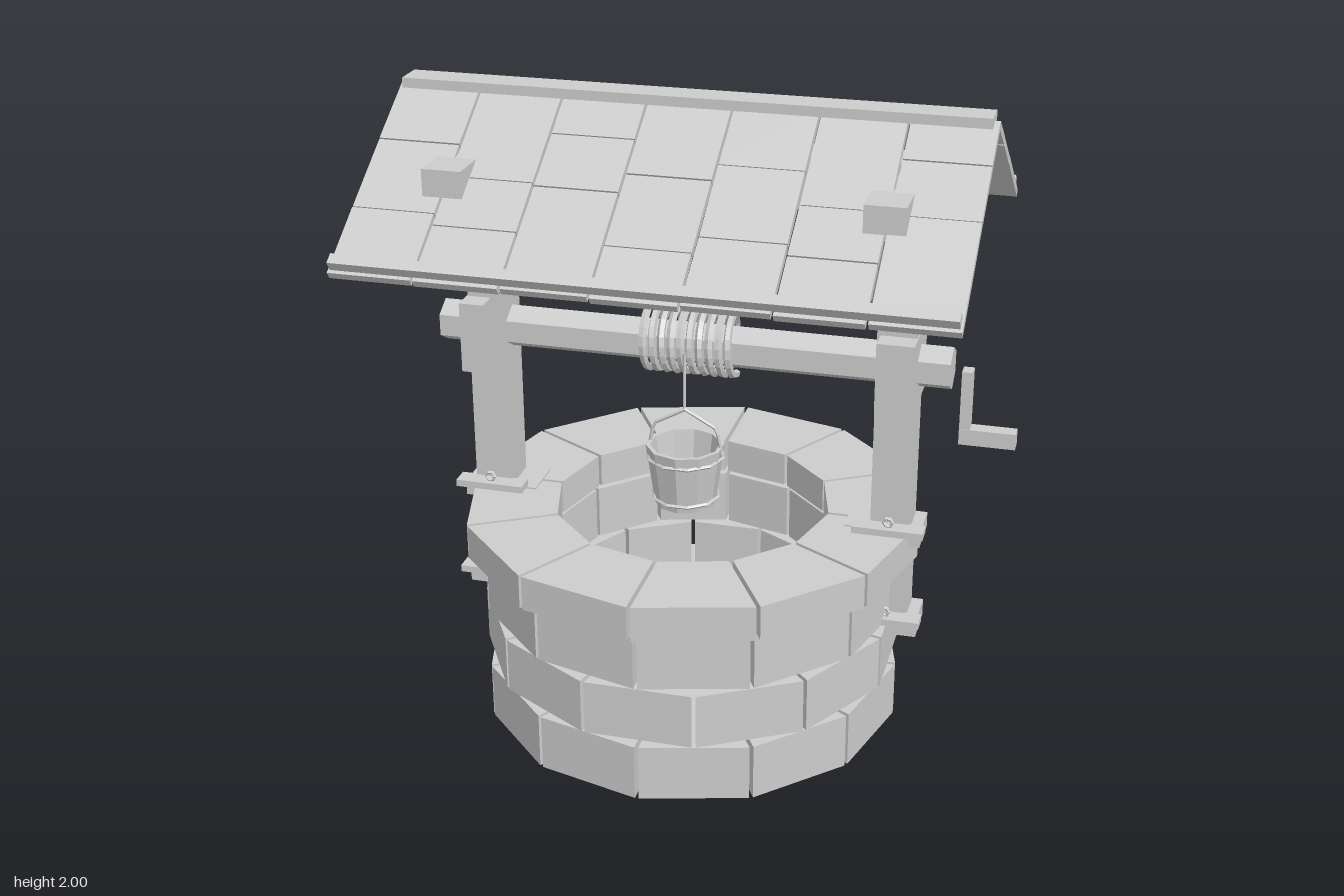
import * as THREE from 'three';

const grey = new THREE.MeshStandardMaterial({ color: 0xcccccc });
grey.name = 'plain grey';

// Mesh with faceted normals
function part(name, geometry, parent, x = 0, y = 0, z = 0) {
  const geo = geometry.index ? geometry.toNonIndexed() : geometry;
  geo.computeVertexNormals();
  const mesh = new THREE.Mesh(geo, grey);
  mesh.name = name;
  mesh.position.set(x, y, z);
  parent.add(mesh);
  return mesh;
}

// Box given by its min and max on each axis
function box(name, parent, x0, x1, y0, y1, z0, z1) {
  return part(name, new THREE.BoxGeometry(x1 - x0, y1 - y0, z1 - z0), parent,
    (x0 + x1) / 2, (y0 + y1) / 2, (z0 + z1) / 2);
}

function tube(name, parent, points, radius, segments, curved = false) {
  const path = new THREE.CurvePath();
  const v = points.map(p => new THREE.Vector3(...p));
  for (let i = 1; i < v.length; i++) path.add(new THREE.LineCurve3(v[i - 1], v[i]));
  const curve = curved ? new THREE.CatmullRomCurve3(v) : path;
  return part(name, new THREE.TubeGeometry(curve, segments, radius, 5), parent);
}

// Twelve wedge stones in a ring
function stoneRing(parent, y0, y1, rOut, rIn, turn) {
  const ring = new THREE.Group();
  ring.name = 'stoneRing';
  const gap = 0.006;
  for (let i = 0; i < 12; i++) {
    const a = (i + turn) * Math.PI / 6, b = a + Math.PI / 6;
    const corner = (r, t, side) => {
      const u = t + side * gap / r;
      return new THREE.Vector2(r * Math.cos(u), r * Math.sin(u));
    };
    const shape = new THREE.Shape([corner(rIn, a, 1), corner(rOut, a, 1), corner(rOut, b, -1), corner(rIn, b, -1)]);
    const geo = new THREE.ExtrudeGeometry(shape, { depth: y1 - y0, bevelEnabled: false });
    geo.rotateX(-Math.PI / 2);
    part('stone', geo, ring, 0, y0, 0);
  }
  parent.add(ring);
}

// One pitch of the roof: seven columns of staggered shingles and an eave rail
function roofSlope(parent, back) {
  const side = new THREE.Group();
  side.name = back ? 'backRoof' : 'frontRoof';
  side.rotation.y = back ? Math.PI : 0;
  const slope = new THREE.Group();
  slope.position.y = 1.985;
  slope.rotation.x = Math.atan2(0.4, 0.63);
  side.add(slope);
  const cuts = [[0.24, 0.5], [0.36, 0.54], [0.17, 0.37], [0.3, 0.56]];
  const w = 1.8 / 7;
  for (let c = 0; c < 7; c++) {
    const rows = [0.005, ...cuts[(c + (back ? 2 : 0)) % 4], 0.742 + 0.003 * (c % 2)];
    for (let r = 0; r < 3; r++) {
      const s = box('shingle', slope, -0.9 + c * w + 0.004, -0.9 + (c + 1) * w - 0.004,
        -0.024, 0, rows[r] + 0.002, rows[r + 1] - 0.002);
      s.rotation.x = 0.012 * ((c + r) % 3 - 1);
    }
  }
  box('eaveRail', slope, -0.89, 0.89, 0, 0.032, 0.695, 0.73);
  parent.add(side);
}

// Post with its forward brace, brackets, pegs and plates; s is the side
function post(parent, s) {
  const g = new THREE.Group();
  g.name = s > 0 ? 'leftPost' : 'rightPost';
  const b = (name, x0, x1, ...rest) => box(name, g, Math.min(s * x0, s * x1), Math.max(s * x0, s * x1), ...rest);
  b('upright', 0.58, 0.70, 0.35, 1.83, -0.066, 0.066);
  b('winchBracket', s > 0 ? 0.59 : 0.625, 0.703, 1.105, 1.33, -0.105, 0.135);
  b('bracketPin', 0.65, 0.68, 1.20, 1.26, -0.115, -0.1);
  for (const [y0, y1] of [[0.33, 0.385], [0.645, 0.695]]) b('clamp', 0.5, 0.735, y0, y1, -0.076, 0.072);
  for (const y of [0.385, 0.695]) {
    b('plate', y < 0.5 ? 0.635 : 0.53, 0.75, y, y + 0.022, 0.06, 0.12);
    part('plateRing', new THREE.TorusGeometry(0.014, 0.006, 4, 6), g, s * 0.64, y + 0.04, 0.1);
  }
  // Brace profile drawn in z and y
  const profile = [[0.06, 1.36], [0.1, 1.36], [0.315, 1.69], [0.372, 1.73], [0.372, 1.83], [0.06, 1.83]];
  const geo = new THREE.ExtrudeGeometry(new THREE.Shape(profile.map(p => new THREE.Vector2(-p[0], p[1]))),
    { depth: 0.12, bevelEnabled: false });
  geo.rotateY(Math.PI / 2);
  part('brace', geo, g, s * 0.64 - 0.06, 0, 0);
  parent.add(g);
}

export function createModel() {
  const model = new THREE.Group();
  model.name = 'well';
  const well = new THREE.Group();
  well.name = 'wellBody';
  well.position.x = -0.05;
  model.add(well);

  // Stone wall and floor
  stoneRing(well, 0, 0.18, 0.665, 0.45, 0);
  stoneRing(well, 0.195, 0.37, 0.665, 0.45, 0.5);
  stoneRing(well, 0.385, 0.56, 0.665, 0.45, 0);
  stoneRing(well, 0.58, 0.69, 0.72, 0.435, 0);
  part('wellFloor', new THREE.CylinderGeometry(0.47, 0.47, 0.008, 24), well, 0, 0.1, 0);

  // Timber frame
  post(well, 1);
  post(well, -1);
  box('tieBeam', well, -0.73, 0.73, 1.70, 1.855, -0.073, 0.073);

  // Roof
  roofSlope(well, false);
  roofSlope(well, true);
  box('ridgeBoard', well, -0.88, 0.88, 1.97, 2.0, -0.05, 0.047);

  // Winch drum and crank
  const drum = part('winchDrum', new THREE.CylinderGeometry(0.068, 0.068, 1.6, 6), well, 0, 1.22, 0);
  drum.geometry.rotateZ(Math.PI / 2);
  drum.geometry.rotateX(Math.PI / 2);
  box('crankArm', well, 0.83, 0.862, 0.99, 1.22, -0.022, 0.022);
  box('crankHandle', well, 0.83, 1.0, 0.985, 1.035, -0.024, 0.024);

  // Coiled rope and its hanging end
  const coil = [];
  for (let i = 0; i <= 90; i++) {
    const t = i / 90 * 9.5 * Math.PI * 2;
    coil.push([-0.14 + 0.28 * i / 90, 1.225 + 0.092 * Math.cos(t), 0.092 * Math.sin(t)]);
  }
  tube('ropeCoil', well, coil, 0.0125, 200, true);
  tube('hangingRope', well, [[0, 1.22, 0.095], [0, 1.03, 0.095]], 0.005, 1);

  // Bucket with hoops and bail
  const bucket = new THREE.Group();
  bucket.name = 'bucket';
  bucket.position.set(0.003, 0, 0.1);
  const wall = [[0, 0.73], [0.095, 0.73], [0.122, 0.925], [0.108, 0.925], [0.084, 0.75], [0, 0.75]];
  part('pail', new THREE.LatheGeometry(wall.map(p => new THREE.Vector2(...p)), 10), bucket);
  for (const [y, r] of [[0.755, 0.104], [0.89, 0.12]]) {
    const hoop = part('hoop', new THREE.TorusGeometry(r, 0.006, 4, 10), bucket, 0, y, 0);
    hoop.rotation.x = Math.PI / 2;
  }
  tube('bail', bucket, [[-0.118, 0.89, 0], [-0.1, 0.985, 0], [0, 1.04, 0], [0.1, 0.985, 0], [0.118, 0.89, 0]], 0.006, 16);
  well.add(bucket);

  return model;
}
